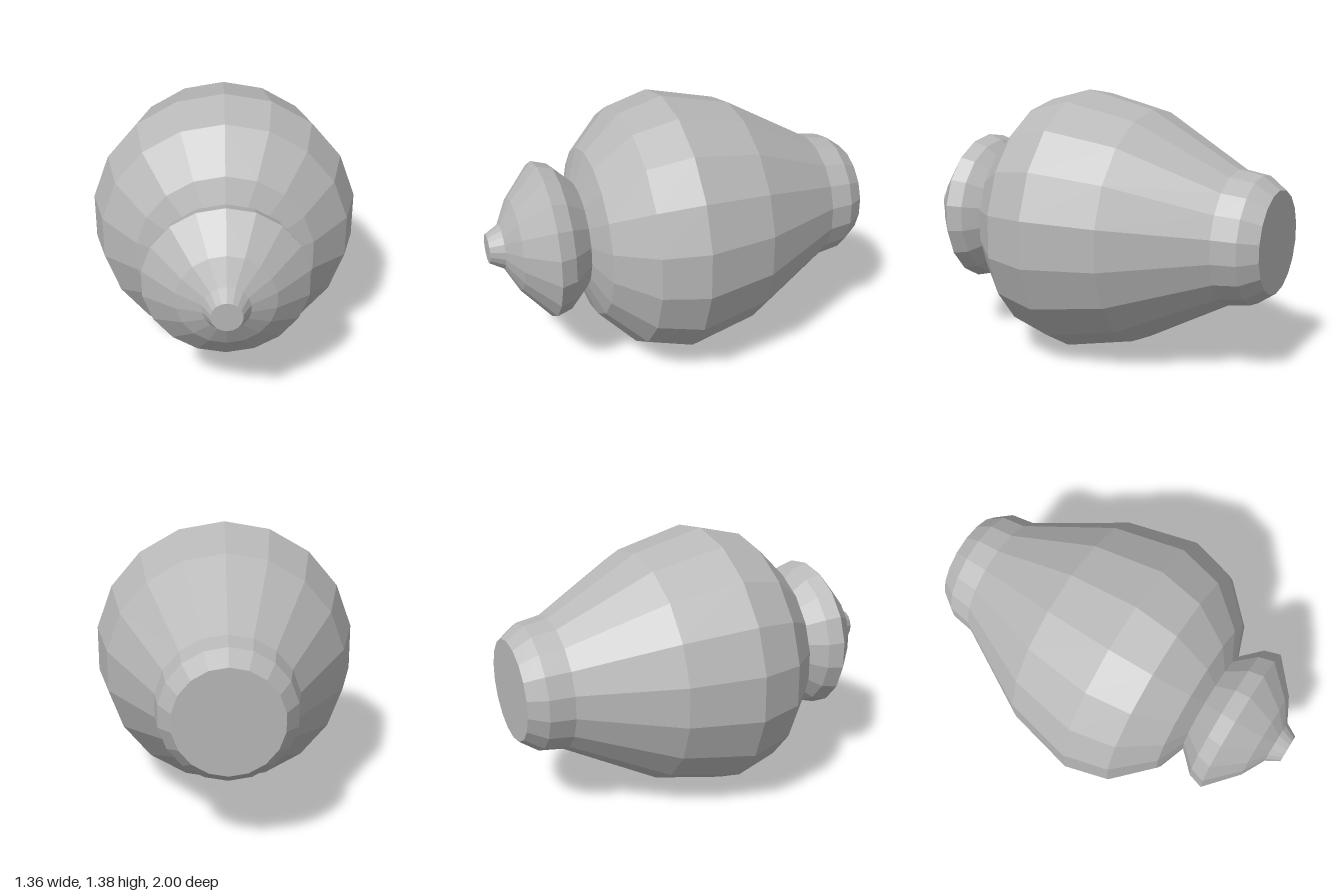
import * as THREE from 'three';

const SIDES = 18;
const CENTER_Y = 0.69;

export function createModel() {
  const model = new THREE.Group();
  model.name = 'bulb';
  const grey = new THREE.MeshStandardMaterial({ color: 0xb8b8b8, flatShading: true });
  grey.name = 'plain grey';

  // Turns a [radius, z] profile, listed back to front, around the z axis
  function turned(name, profile) {
    const points = profile.map(([r, z]) => new THREE.Vector2(r, z));
    const geometry = new THREE.LatheGeometry(points, SIDES);
    geometry.rotateX(Math.PI / 2);
    const mesh = new THREE.Mesh(geometry, grey);
    mesh.name = name;
    mesh.position.y = CENTER_Y;
    model.add(mesh);
  }

  // Closed collar at the back
  turned('backCollar', [[0, -1], [0.26, -1], [0.324, -0.91], [0.343, -0.785]]);

  // Large faceted body, narrowing to the waist
  turned('body', [
    [0.343, -0.785], [0.606, -0.31], [0.69, 0.06],
    [0.627, 0.29], [0.441, 0.475], [0.28, 0.535],
  ]);

  // Flared cap in front of the waist
  turned('frontCap', [[0.28, 0.535], [0.381, 0.64], [0.405, 0.72], [0.24, 0.865], [0.115, 0.93]]);

  // Small closed tip
  turned('tip', [[0.115, 0.93], [0.075, 1], [0, 1]]);

  return model;
}
